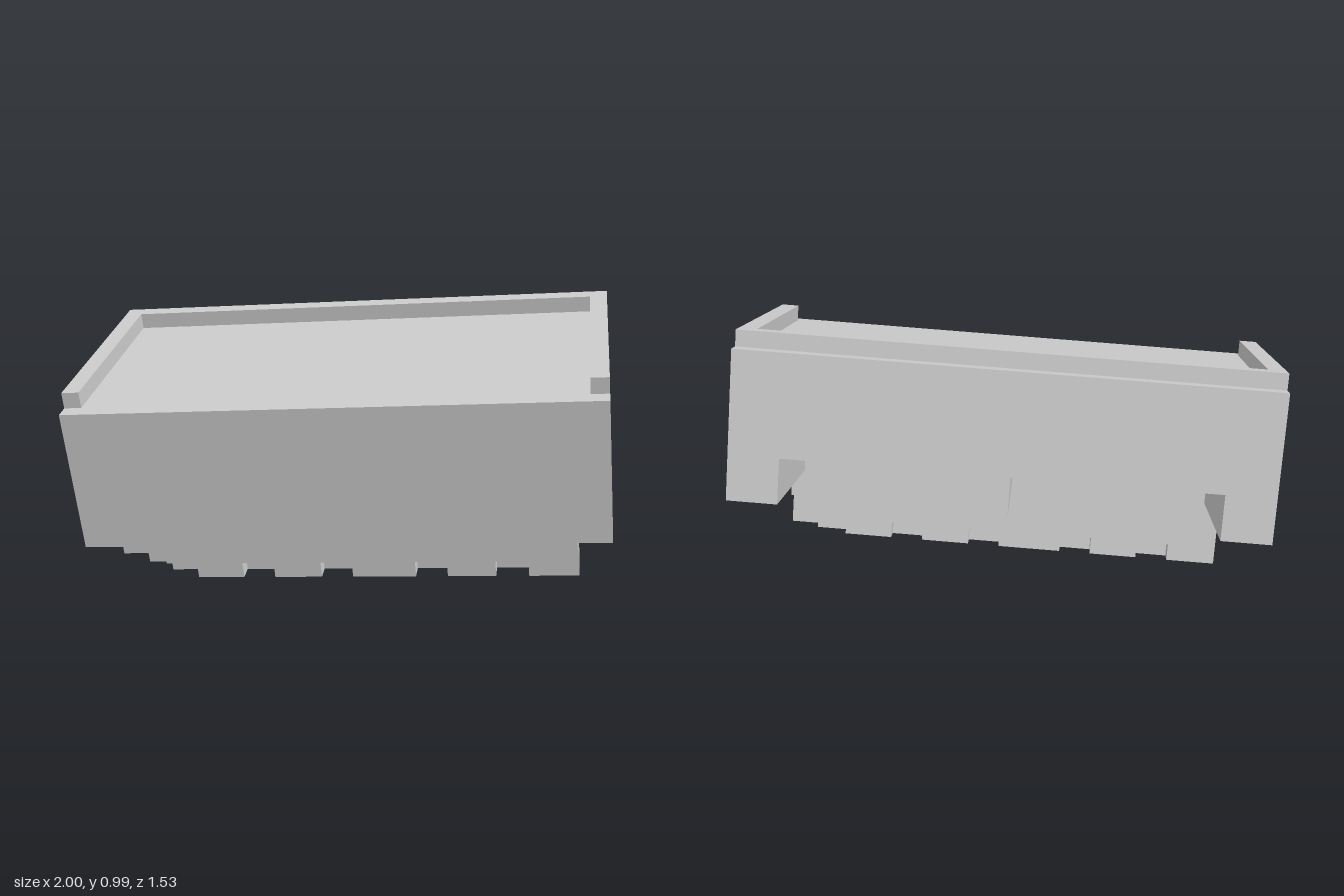
import * as THREE from 'three';

const material = new THREE.MeshStandardMaterial({ color: 0xcccccc, flatShading: true });

// Extrudes a plan outline of [x, z] points between two heights
function layer(name, plan, y0, y1) {
  const shape = new THREE.Shape(plan.map(([x, z]) => new THREE.Vector2(x, -z)));
  const geometry = new THREE.ExtrudeGeometry(shape, { depth: y1 - y0, bevelEnabled: false });
  geometry.rotateX(-Math.PI / 2).translate(0, y0, 0);
  const mesh = new THREE.Mesh(geometry, material);
  mesh.name = name;
  return mesh;
}

// Box given by its limits on each axis
function block(name, x0, x1, y0, y1, z0, z1) {
  const geometry = new THREE.BoxGeometry(x1 - x0, y1 - y0, z1 - z0);
  geometry.translate((x0 + x1) / 2, (y0 + y1) / 2, (z0 + z1) / 2);
  const mesh = new THREE.Mesh(geometry, material);
  mesh.name = name;
  return mesh;
}

// Base half outline, completed by a half turn about its own centre
const BASE_BACK = 0.06, BASE_FRONT = 0.283;
const halfTurn = (half) =>
  [...half, ...half.map(([x, z]) => [-x, BASE_BACK + BASE_FRONT - z])];

export function createModel() {
  const model = new THREE.Group();
  model.name = 'trayBlock';
  const block3d = new THREE.Group();
  block3d.name = 'tiltedBlock';
  model.add(block3d);

  // Body: solid upper part, lower part open at the back
  const W = 0.9, D = 0.4485, TOP = 0.505, CEIL = 0.155, CUT = 0.73;
  block3d.add(block('upperBody', -W, W, CEIL, TOP, -D, D));
  block3d.add(layer('lowerBody', [
    [-W, D], [W, D], [W, -D], [CUT, -D], [CUT, BASE_BACK],
    [-CUT, BASE_BACK], [-CUT, -D], [-W, -D],
  ], 0, CEIL));
  block3d.add(block('divider', -0.028, 0.028, 0, CEIL, -0.392, BASE_BACK));

  // Raised rim on three sides, open at the front
  const R = 0.394, IN = 0.84;
  block3d.add(layer('rim', [
    [-W, R], [-W, -R], [W, -R], [W, R], [IN, R], [IN, -0.34], [-IN, -0.34], [-IN, R],
  ], TOP, TOP + 0.056));

  // Stepped base below the body
  const E = 0.785, F = BASE_FRONT;
  block3d.add(block('baseSlab', -E, E, -0.055, 0, BASE_BACK, 0.398));
  block3d.add(layer('baseUpper', halfTurn([
    [-E, 0.227], [-0.74, 0.227], [-0.74, F], [E, F],
  ]), -0.11, -0.055));
  block3d.add(layer('baseMiddle', halfTurn([
    [-E, 0.171], [-0.74, 0.171], [-0.74, 0.227], [-0.68, 0.227], [-0.68, F], [E, F],
  ]), -0.166, -0.11));

  // Lowest layer with notches along front and back
  const toothed = [[-E, 0.171], [-0.68, 0.171], [-0.68, 0.227], [-0.568, 0.227], [-0.568, F]];
  for (const [a, b] of [[-0.4, -0.286], [-0.116, -0.004], [0.22, 0.332], [0.5, 0.614]]) {
    toothed.push([a, F], [a, F - 0.056], [b, F - 0.056], [b, F]);
  }
  toothed.push([E, F]);
  block3d.add(layer('toothedFoot', halfTurn(toothed), -0.224, -0.166));

  // Overall pose
  block3d.rotation.set(THREE.MathUtils.degToRad(11.4), THREE.MathUtils.degToRad(20), 0);
  block3d.position.set(0, 0.315, -0.0475);
  return model;
}
